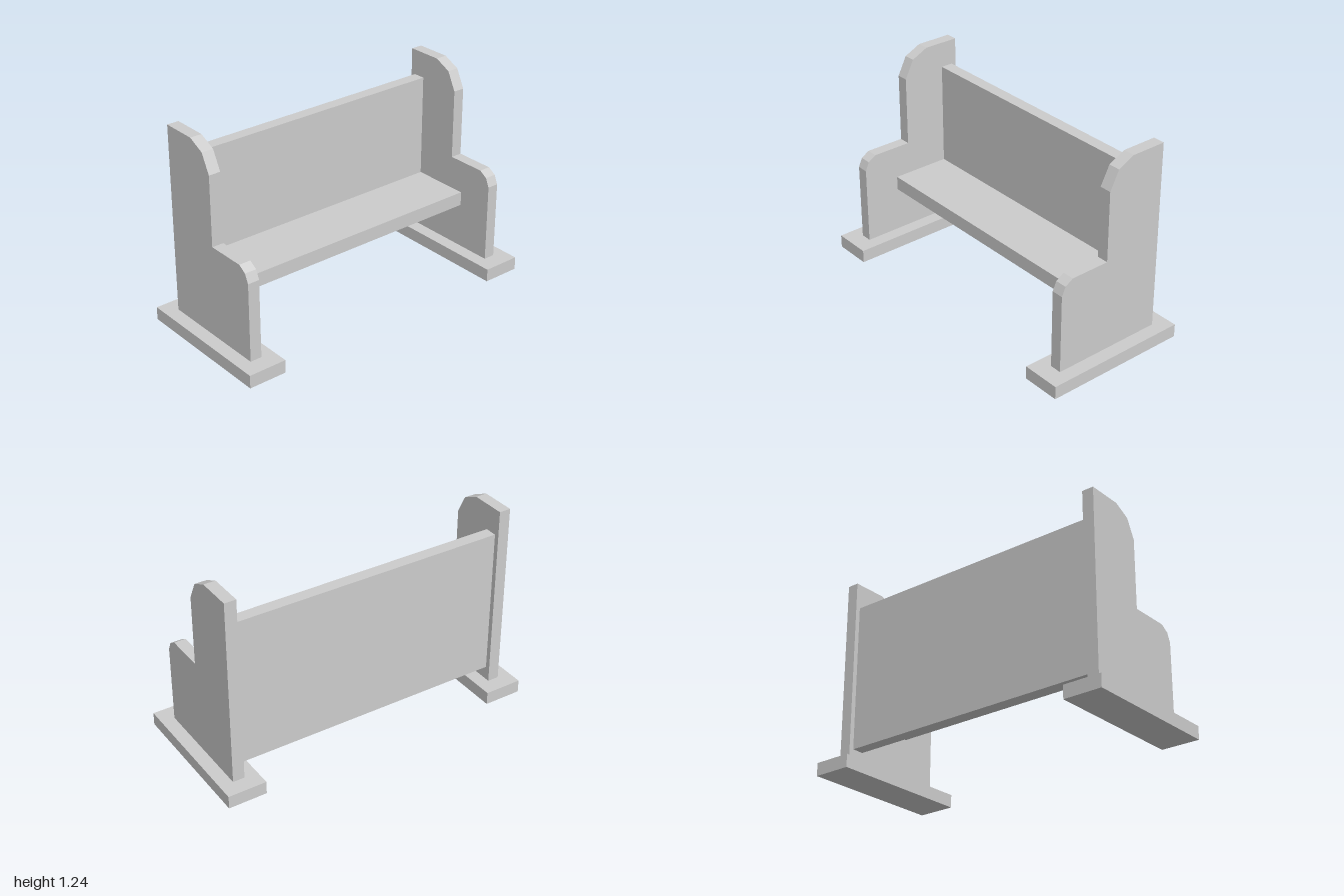
import * as THREE from 'three';

const material = new THREE.MeshStandardMaterial({ color: 0xcccccc, flatShading: true });

// Box given by its min and max corners
function box(name, [x0, y0, z0], [x1, y1, z1]) {
  const geometry = new THREE.BoxGeometry(x1 - x0, y1 - y0, z1 - z0);
  geometry.translate((x0 + x1) / 2, (y0 + y1) / 2, (z0 + z1) / 2);
  const mesh = new THREE.Mesh(geometry, material);
  mesh.name = name;
  return mesh;
}

// Stepped end panel with chamfered corners, outline as [z, y]
const endProfile = [
  [-0.352, 0.08], [0.344, 0.08], [0.344, 0.563], [0.32, 0.617], [0.27, 0.648],
  [0.025, 0.648], [0.025, 1.075], [-0.032, 1.187], [-0.134, 1.236], [-0.352, 1.236],
];
const inner = 0.845, outer = 0.917;

function endPanel(name, x) {
  const shape = new THREE.Shape(endProfile.map(([z, y]) => new THREE.Vector2(-z, y)));
  const geometry = new THREE.ExtrudeGeometry(shape, { depth: outer - inner, bevelEnabled: false });
  geometry.rotateY(Math.PI / 2);
  const mesh = new THREE.Mesh(geometry, material);
  mesh.position.x = x;
  mesh.name = name;
  return mesh;
}

export function createModel() {
  const bench = new THREE.Group();
  bench.name = 'bench';

  // Seat and backrest spanning between the ends
  bench.add(box('backrest', [-inner, 0.165, -0.322], [inner, 1.078, -0.247]));
  bench.add(box('seat', [-inner, 0.358, -0.247], [inner, 0.444, 0.117]));

  // End panels, each on a flat foot
  bench.add(endPanel('leftEnd', inner), endPanel('rightEnd', -outer));
  bench.add(box('leftFoot', [0.763, 0, -0.45], [1, 0.08, 0.45]));
  bench.add(box('rightFoot', [-1, 0, -0.45], [-0.763, 0.08, 0.45]));
  return bench;
}
